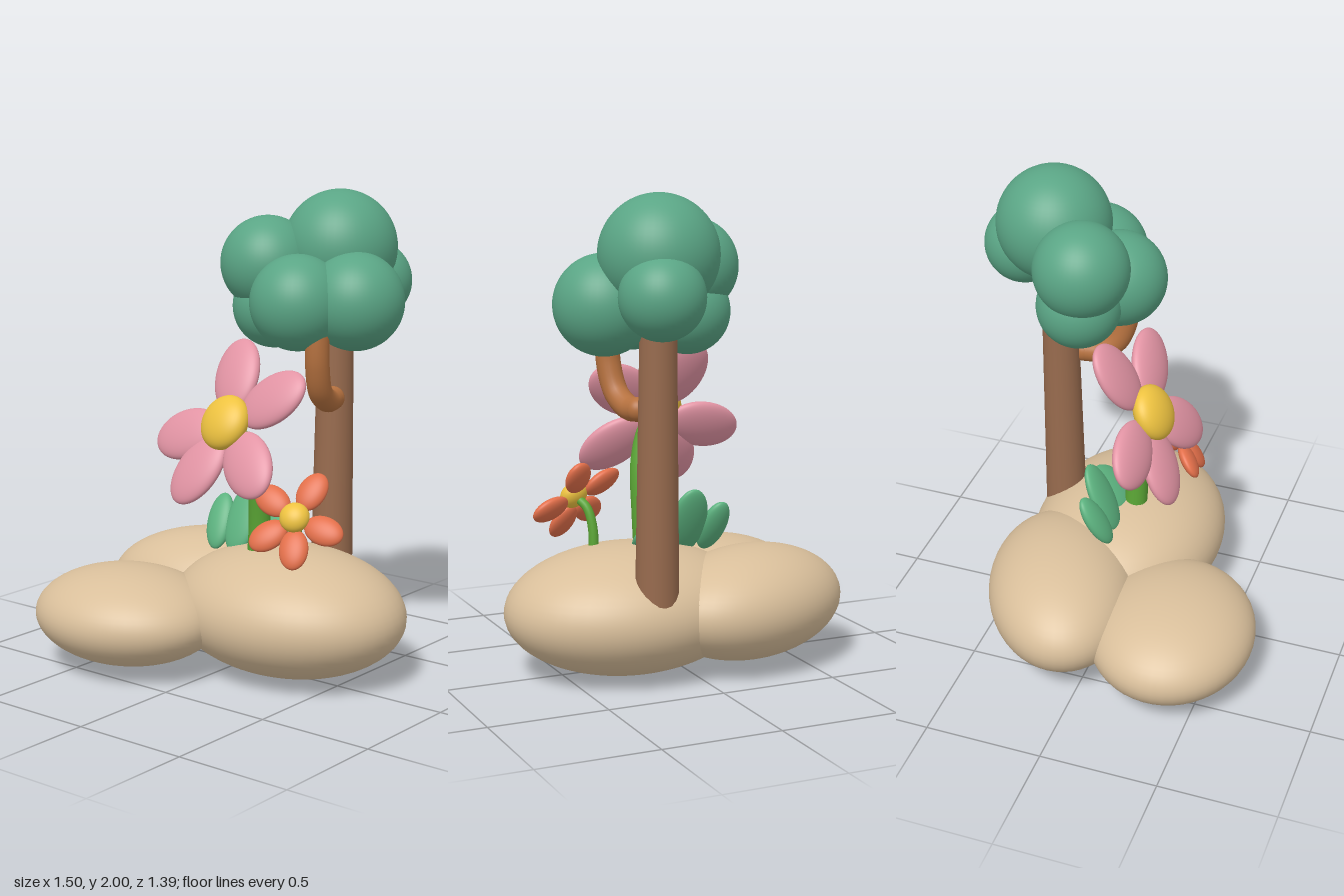
import * as THREE from 'three';

const mat = (color) => new THREE.MeshStandardMaterial({ color });
const sand = mat(0xd9bf9b), bark = mat(0x986b4e), branchBark = mat(0xb5713f), foliage = mat(0x5aa585);
const pink = mat(0xe294a4), yellow = mat(0xedc240), orange = mat(0xe26f4a);
const green = mat(0x5aa535), leafGreen = mat(0x5cb27f);

const ball = new THREE.SphereGeometry(1, 48, 32);

// Ellipsoid with given centre, radii and rotation
function blob(name, material, pos, radii, rot = [0, 0, 0]) {
  const mesh = new THREE.Mesh(ball, material);
  mesh.name = name;
  mesh.position.set(...pos);
  mesh.scale.set(...radii);
  mesh.rotation.set(...rot);
  return mesh;
}

// Tube along a smooth curve, tapering from r0 to r1
function taperedTube(name, material, points, r0, r1) {
  const curve = new THREE.CatmullRomCurve3(points.map((p) => new THREE.Vector3(...p)));
  const rings = 32, sides = 20;
  const geo = new THREE.TubeGeometry(curve, rings, 1, sides);
  const p = geo.attributes.position, n = geo.attributes.normal;
  for (let i = 0; i < p.count; i++) {
    const t = Math.floor(i / (sides + 1)) / rings;
    const k = r0 + (r1 - r0) * t - 1;
    p.setXYZ(i, p.getX(i) + n.getX(i) * k, p.getY(i) + n.getY(i) * k, p.getZ(i) + n.getZ(i) * k);
  }
  const mesh = new THREE.Mesh(geo, material);
  mesh.name = name;
  return mesh;
}

// Flower head lying in its local xy plane, facing +z, then tilted up and turned
function flowerHead({ name, pos, tilt, yaw, angles, reach, petal, petalMat, core, coreLift }) {
  const head = new THREE.Group();
  head.name = name;
  for (const deg of angles) {
    const a = THREE.MathUtils.degToRad(deg);
    head.add(blob('petal', petalMat, [Math.cos(a) * reach, Math.sin(a) * reach, 0], petal, [0, 0, a]));
  }
  head.add(blob('flowerCentre', yellow, [0, 0, coreLift], core));
  head.position.set(...pos);
  head.rotation.set(-tilt, yaw, 0, 'YXZ');
  return head;
}

export function createModel() {
  const model = new THREE.Group();
  model.name = 'treeAndFlowers';

  // Three overlapping ground mounds
  model.add(
    blob('mainMound', sand, [0.215, 0.272, -0.035], [0.53, 0.27, 0.415]),
    blob('frontMound', sand, [-0.34, 0.237, 0.345], [0.412, 0.203, 0.35], [0, 0.1, 0]),
    blob('backMound', sand, [-0.28, 0.275, -0.17], [0.467, 0.235, 0.316], [0, 0.37, 0]),
  );

  // Trunk and its bent branch
  model.add(taperedTube('trunk', bark, [[0.22, 0.3, -0.337], [0.22, 0.9, -0.345], [0.22, 1.65, -0.355]], 0.09, 0.072));
  model.add(taperedTube('branch', branchBark, [
    [0.27, 1.14, -0.265], [0.285, 1.14, -0.21], [0.305, 1.19, -0.13], [0.32, 1.3, -0.088], [0.325, 1.5, -0.08],
  ], 0.05, 0.05));
  model.add(blob('branchEnd', branchBark, [0.27, 1.14, -0.265], [0.05, 0.05, 0.05]));

  // Crown of round clumps: x, y, z, radius
  const crown = new THREE.Group();
  crown.name = 'crown';
  for (const [x, y, z, r] of [
    [0.225, 1.76, -0.37, 0.24], [0.0, 1.695, -0.17, 0.198], [0.22, 1.555, -0.085, 0.198],
    [0.4, 1.56, -0.235, 0.203], [0.28, 1.61, -0.525, 0.17], [0.02, 1.515, -0.19, 0.175],
  ]) crown.add(blob('foliageClump', foliage, [x, y, z], [r, r, r]));
  model.add(crown);

  // Large flower
  model.add(taperedTube('largeStem', green, [
    [0.105, 0.42, 0.025], [0.12, 0.65, 0.035], [0.12, 0.85, 0.06], [0.085, 0.98, 0.085], [0.025, 1.055, 0.115],
  ], 0.052, 0.034));
  model.add(flowerHead({
    name: 'largeFlower', pos: [0.02, 1.05, 0.105], tilt: 0.51, yaw: -0.1,
    angles: [106, 38, -41, -112, 198], reach: 0.225, petal: [0.165, 0.112, 0.045],
    petalMat: pink, core: [0.115, 0.118, 0.065], coreLift: 0.035,
  }));

  // Small flower
  model.add(taperedTube('smallStem', green, [
    [0.335, 0.44, 0.05], [0.335, 0.6, 0.06], [0.35, 0.68, 0.085], [0.38, 0.72, 0.13],
  ], 0.022, 0.018));
  model.add(flowerHead({
    name: 'smallFlower', pos: [0.378, 0.715, 0.13], tilt: 0.58, yaw: 0.35,
    angles: [68, -18, -84, -142, 147], reach: 0.13, petal: [0.085, 0.06, 0.03],
    petalMat: orange, core: [0.062, 0.062, 0.045], coreLift: 0.02,
  }));

  // Leaves at the foot of the large stem, leaning back
  model.add(
    blob('leaf', leafGreen, [-0.165, 0.585, -0.055], [0.062, 0.125, 0.035], [-0.5, 0, 0.15]),
    blob('leaf', leafGreen, [-0.045, 0.62, -0.07], [0.082, 0.16, 0.035], [-0.45, 0, -0.05]),
    blob('leaf', leafGreen, [0.11, 0.565, -0.08], [0.1, 0.115, 0.035], [-0.85, 0, 0]),
  );

  return model;
}
